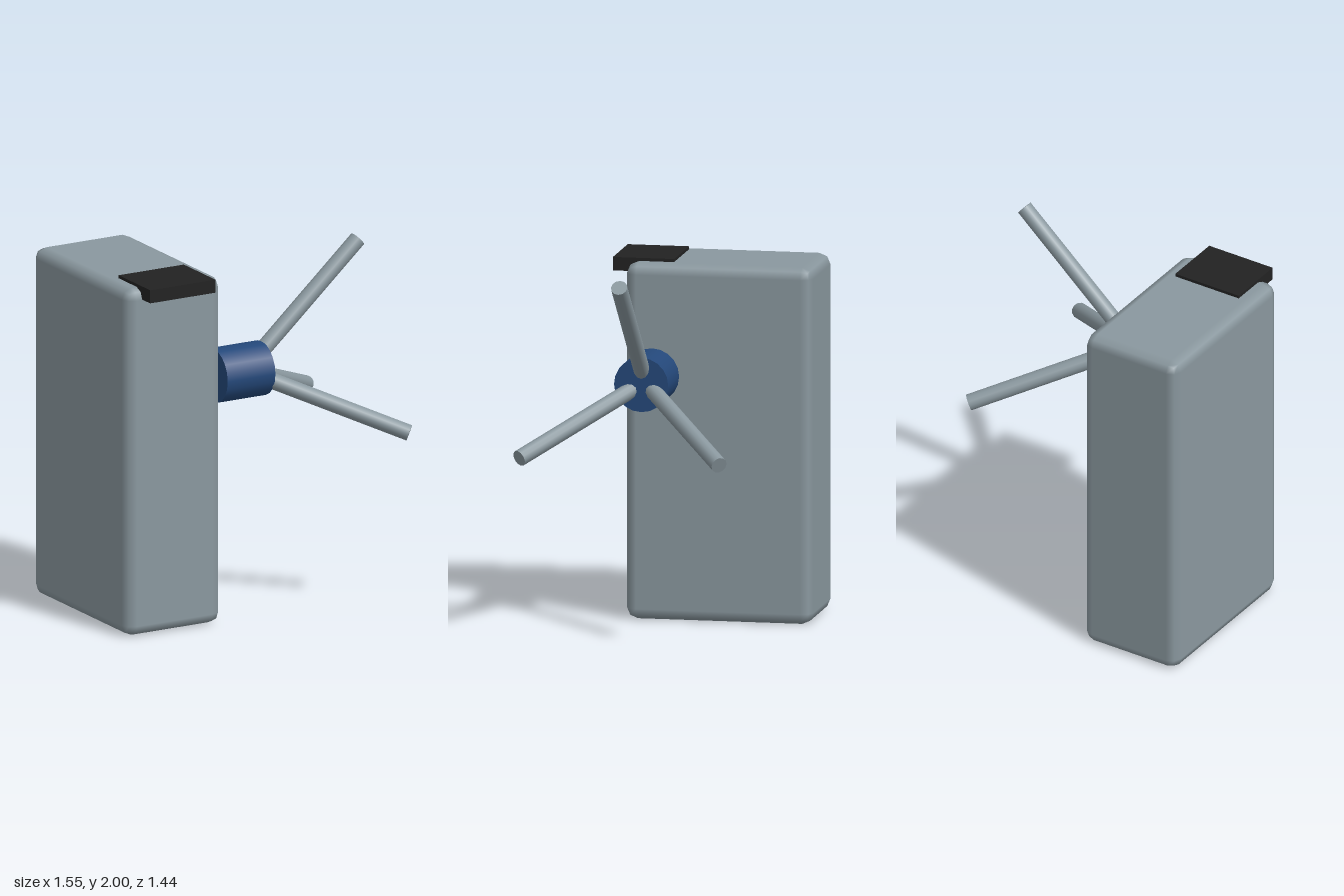
import * as THREE from 'three';
import { RoundedBoxGeometry } from 'three/addons/geometries/RoundedBoxGeometry.js';

const steel = new THREE.MeshStandardMaterial({ name: 'steel grey', color: 0x8a989f });
const blue = new THREE.MeshStandardMaterial({ name: 'hub blue', color: 0x24487a });
const black = new THREE.MeshStandardMaterial({ name: 'reader black', color: 0x222222 });

const HUB = new THREE.Vector3(0, 1.338, 0.14);

function addPart(parent, name, geometry, material, x = 0, y = 0, z = 0) {
  const mesh = new THREE.Mesh(geometry, material);
  mesh.name = name;
  mesh.position.set(x, y, z);
  parent.add(mesh);
  return mesh;
}

export function createModel() {
  const model = new THREE.Group();
  model.name = 'turnstile';

  // Cabinet with softly bevelled edges
  addPart(model, 'cabinet', new RoundedBoxGeometry(0.59, 1.935, 1.016, 1, 0.06), steel, -0.48, 0.9675, -0.212);

  // Card reader plate overhanging the front of the cabinet top
  addPart(model, 'cardReader', new THREE.BoxGeometry(0.404, 0.073, 0.334), black, -0.481, 1.915, 0.213);

  // Rotor: hub on the x axis with three splayed arms
  const rotor = new THREE.Group();
  rotor.name = 'rotor';
  rotor.position.copy(HUB);
  model.add(rotor);

  const hub = new THREE.CylinderGeometry(0.148, 0.148, 0.296, 20).rotateZ(-Math.PI / 2);
  addPart(rotor, 'hub', hub, blue);

  const start = new THREE.Vector2(0.045, 0);
  const tip = new THREE.Vector2(0.745, 0.63);
  const arm = new THREE.CylinderGeometry(0.0445, 0.0445, start.distanceTo(tip), 12)
    .rotateZ(-Math.atan2(tip.x - start.x, tip.y - start.y))
    .translate((start.x + tip.x) / 2, (start.y + tip.y) / 2, 0);
  for (let i = 0; i < 3; i++) {
    addPart(rotor, `arm${i + 1}`, arm, steel).rotation.x = (i * Math.PI * 2) / 3;
  }

  return model;
}
